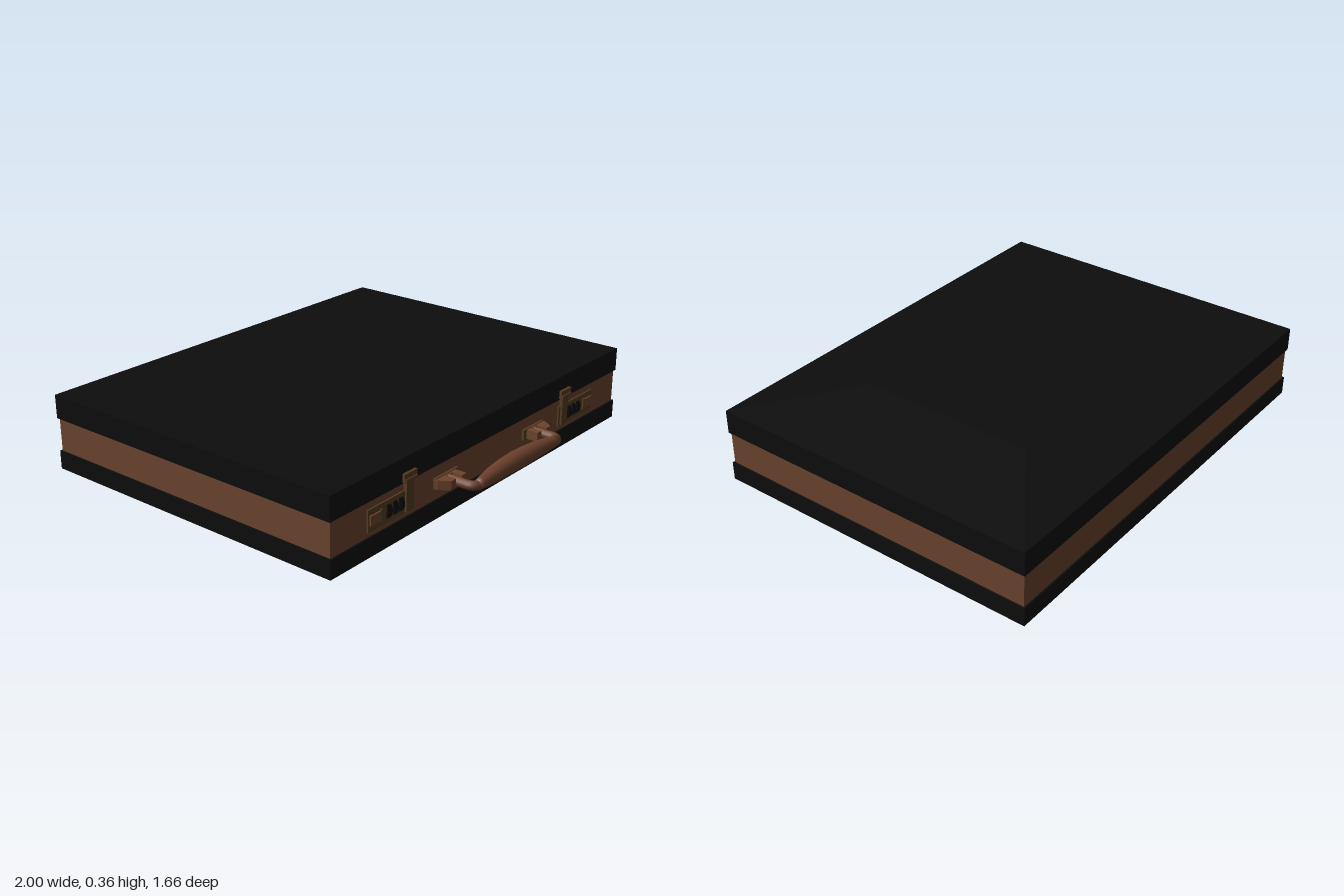
import * as THREE from 'three';

const material = (color, extra = {}) => new THREE.MeshStandardMaterial({ color, ...extra });
const black = material(0x0d0d0d, { flatShading: true });
const leather = material(0x6b432e, { flatShading: true });
const handleBrown = material(0x6b402c);
const brass = material(0x553c22, { flatShading: true });
const dialBlack = material(0x080808);

const ZC = -0.077; // middle of the case in depth
const HANDLE_Y = 0.155;

function add(parent, name, geometry, mat) {
  const mesh = new THREE.Mesh(geometry, mat);
  mesh.name = name;
  parent.add(mesh);
  return mesh;
}

// Box given by its limits on each axis
function box(parent, name, mat, x0, x1, y0, y1, z0, z1) {
  const mesh = add(parent, name, new THREE.BoxGeometry(x1 - x0, y1 - y0, z1 - z0), mat);
  mesh.position.set((x0 + x1) / 2, (y0 + y1) / 2, (z0 + z1) / 2);
  return mesh;
}

// Lid: rectangular rings joined upwards, closed below and above
function lidGeometry() {
  const rings = [[1, 0.754, 0.23], [1, 0.754, 0.335], [0.52, 0.4, 0.36]];
  const positions = [];
  for (const [w, d, y] of rings) {
    positions.push(-w, y, ZC + d, w, y, ZC + d, w, y, ZC - d, -w, y, ZC - d);
  }
  const index = [0, 2, 1, 0, 3, 2, 8, 9, 10, 8, 10, 11];
  for (let r = 0; r < 2; r++) {
    for (let i = 0; i < 4; i++) {
      const a = r * 4 + i, b = r * 4 + (i + 1) % 4;
      index.push(a, b, b + 4, a, b + 4, a + 4);
    }
  }
  const g = new THREE.BufferGeometry();
  g.setAttribute('position', new THREE.Float32BufferAttribute(positions, 3));
  g.setIndex(index);
  g.computeVertexNormals();
  return g;
}

// Grip: swollen in the middle, with a straight outer edge
function gripGeometry() {
  const profile = [[0, -0.285], [0.021, -0.285], [0.024, -0.26], [0.034, -0.17], [0.038, -0.08], [0.04, 0],
    [0.038, 0.08], [0.034, 0.17], [0.024, 0.26], [0.021, 0.285], [0, 0.285]];
  const g = new THREE.LatheGeometry(profile.map(([r, l]) => new THREE.Vector2(r, l)), 20);
  g.rotateZ(-Math.PI / 2);
  const p = g.attributes.position;
  for (let i = 0; i < p.count; i++) {
    const t = Math.min(1, Math.abs(p.getX(i)) / 0.285);
    p.setZ(i, p.getZ(i) + 0.793 + 0.017 * t * t);
  }
  g.translate(0, HANDLE_Y, 0);
  return g;
}

function makeHandle() {
  const handle = new THREE.Group();
  handle.name = 'handle';
  add(handle, 'grip', gripGeometry(), handleBrown);
  for (const s of [-1, 1]) {
    const side = s < 0 ? 'right' : 'left';

    // Arm running out from the case and bending into the grip
    const path = new THREE.CurvePath();
    const v = (x, z) => new THREE.Vector3(s * x, HANDLE_Y, z);
    path.add(new THREE.LineCurve3(v(0.306, 0.665), v(0.306, 0.775)));
    path.add(new THREE.QuadraticBezierCurve3(v(0.306, 0.775), v(0.306, 0.809), v(0.27, 0.809)));
    add(handle, side + 'Arm', new THREE.TubeGeometry(path, 20, 0.02, 12), handleBrown);

    // Wedge-shaped bracket with an eye around the arm
    const outline = new THREE.Shape([[0.255, 0.665], [0.385, 0.665], [0.385, 0.69], [0.355, 0.735],
      [0.325, 0.735], [0.325, 0.69], [0.286, 0.69], [0.286, 0.735], [0.255, 0.735]]
      .map(([x, z]) => new THREE.Vector2(x, -z)));
    const bracket = new THREE.ExtrudeGeometry(outline, { depth: 0.04, bevelEnabled: false });
    bracket.rotateX(-Math.PI / 2);
    const mesh = add(handle, side + 'Bracket', bracket, leather);
    mesh.position.y = HANDLE_Y - 0.02;
    if (s < 0) {
      mesh.rotation.z = Math.PI;
      mesh.position.y = HANDLE_Y + 0.02;
    }
    const [a, b] = [s * 0.235, s * 0.385].sort((m, n) => m - n);
    box(handle, side + 'MountPlate', brass, a, b, 0.132, 0.178, 0.66, 0.682);
  }
  return handle;
}

// Combination lock and clasp; s picks the side
function makeLock(s) {
  const lock = new THREE.Group();
  lock.name = s < 0 ? 'rightLock' : 'leftLock';
  const part = (name, mat, x0, x1, ...rest) =>
    box(lock, name, mat, Math.min(s * x0, s * x1), Math.max(s * x0, s * x1), ...rest);
  part('lockPlate', brass, 0.515, 0.79, 0.105, 0.197, 0.66, 0.677);
  part('releaseButton', leather, 0.72, 0.78, 0.13, 0.172, 0.67, 0.684);
  part('buttonEdge', brass, 0.712, 0.72, 0.125, 0.177, 0.67, 0.685);

  // Three number wheels
  for (const x of [0.595, 0.632, 0.669]) {
    const dial = add(lock, 'dial', new THREE.CylinderGeometry(0.03, 0.03, 0.022, 16), dialBlack);
    dial.rotation.z = Math.PI / 2;
    dial.scale.z = 0.55;
    dial.position.set(s * x, 0.15, 0.672);
  }

  // Clasp: stem, hook over the lid edge and hinge pin
  part('claspStem', brass, 0.528, 0.572, 0.108, 0.245, 0.67, 0.686);
  part('claspHead', brass, 0.512, 0.588, 0.237, 0.272, 0.67, 0.69);
  const pin = add(lock, 'claspPin', new THREE.CylinderGeometry(0.011, 0.011, 0.07, 12), brass);
  pin.rotation.z = Math.PI / 2;
  pin.position.set(s * 0.55, 0.243, 0.685);
  return lock;
}

export function createModel() {
  const model = new THREE.Group();
  model.name = 'briefcase';
  box(model, 'base', black, -1, 1, 0, 0.082, ZC - 0.754, ZC + 0.754);
  box(model, 'sideBand', leather, -0.992, 0.992, 0.07, 0.24, ZC - 0.747, ZC + 0.747);
  add(model, 'lid', lidGeometry(), black);
  model.add(makeHandle(), makeLock(-1), makeLock(1));
  return model;
}
